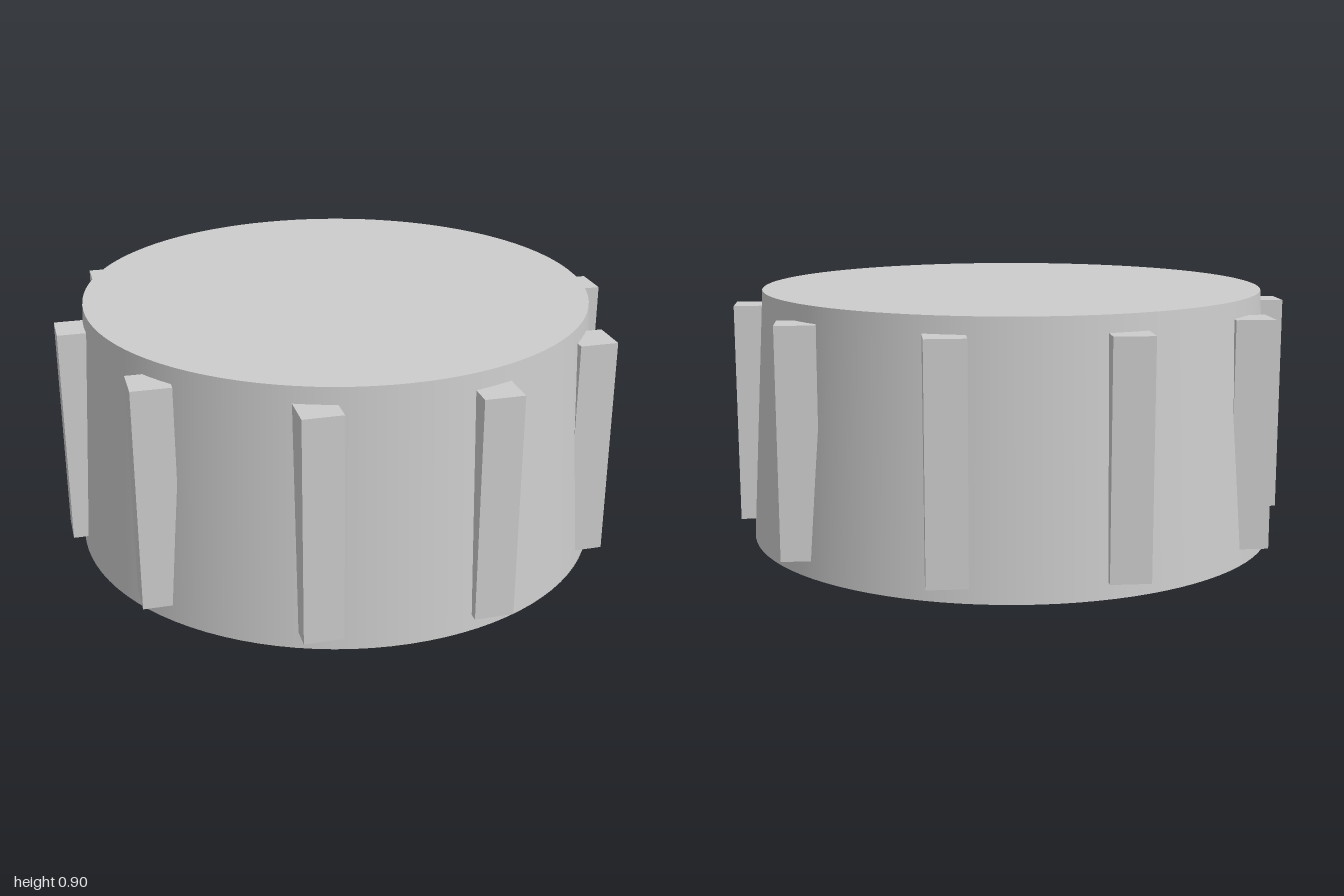
import * as THREE from 'three';
import { mergeGeometries } from 'three/addons/utils/BufferGeometryUtils.js';

const SEGMENTS = 96;

// Revolve each straight run of the profile separately so its edges stay sharp
function sharpLathe(profile) {
  const runs = [];
  for (let i = 0; i < profile.length - 1; i++) {
    const pair = [profile[i], profile[i + 1]].map(([r, y]) => new THREE.Vector2(r, y));
    runs.push(new THREE.LatheGeometry(pair, SEGMENTS));
  }
  return mergeGeometries(runs);
}

export function createModel() {
  const group = new THREE.Group();
  group.name = 'knob';
  const grey = new THREE.MeshStandardMaterial({ color: 0xcccccc });
  grey.name = 'light grey';

  // Tapered body with a blind shaft hole in the underside
  const holeRadius = 0.344, holeDepth = 0.7;
  const body = new THREE.Mesh(sharpLathe([
    [0, holeDepth], [holeRadius, holeDepth], [holeRadius, 0],
    [0.953, 0], [0.9, 0.9], [0, 0.9],
  ]), grey);
  body.name = 'body';
  group.add(body);

  // Ten square grip ribs around the side, all aligned to the axes
  const ribGeometry = new THREE.BoxGeometry(0.134, 0.785, 0.134);
  const ribCount = 10, ribRadius = 0.933;
  for (let i = 0; i < ribCount; i++) {
    const angle = (i / ribCount) * Math.PI * 2;
    const rib = new THREE.Mesh(ribGeometry, grey);
    rib.name = `gripRib${i + 1}`;
    rib.position.set(Math.cos(angle) * ribRadius, 0.45, Math.sin(angle) * ribRadius);
    group.add(rib);
  }
  return group;
}
